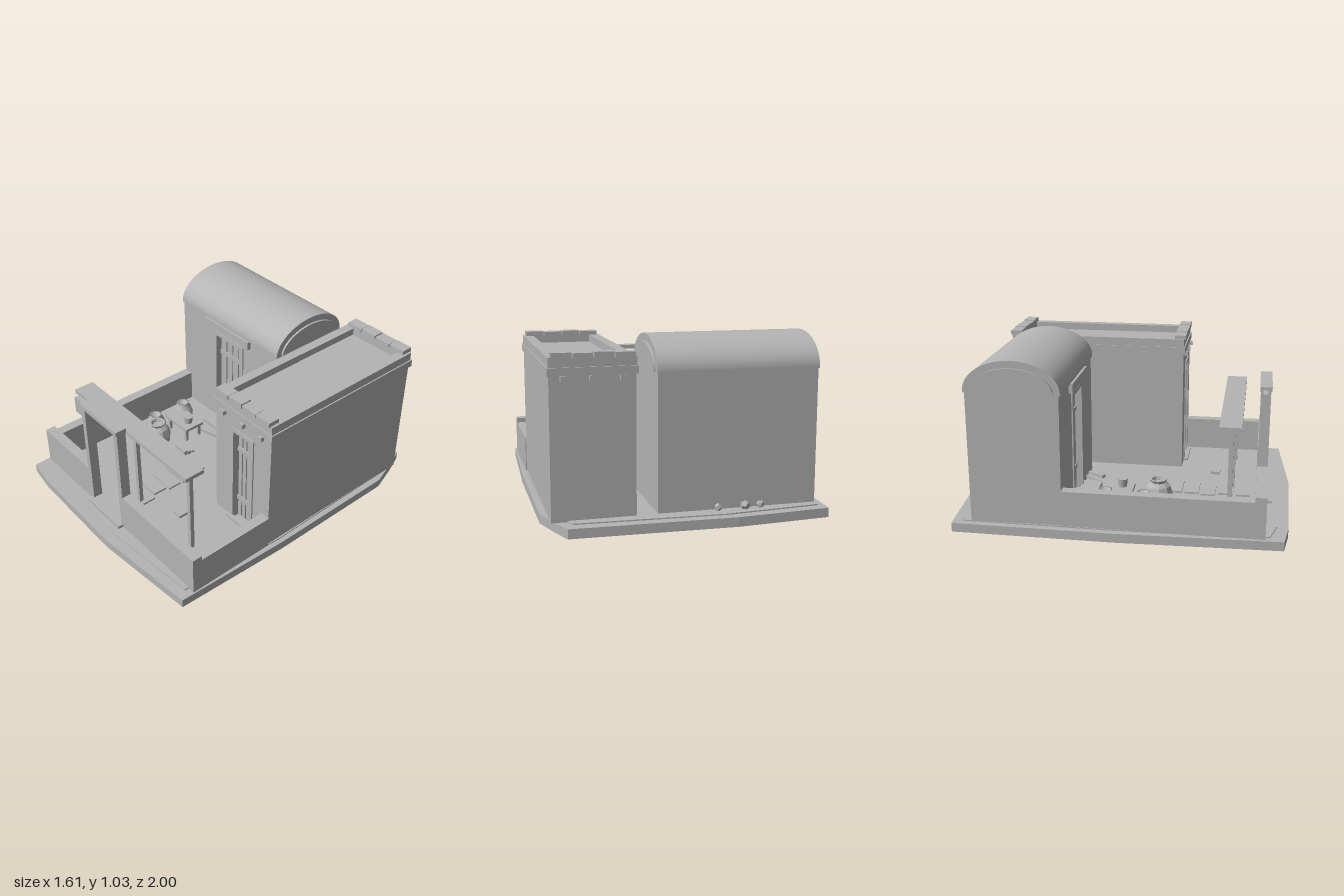
import * as THREE from 'three';

export function createModel() {
  const root = new THREE.Group();
  const plaster = new THREE.MeshStandardMaterial({ color: 0xb4b4b4 });
  plaster.name = 'plainGrey';

  const add = (name, geo, parent = root) => {
    const m = new THREE.Mesh(geo, plaster);
    m.name = name;
    parent.add(m);
    return m;
  };
  // box from its limits on each axis
  const box = (name, x0, x1, y0, y1, z0, z1, parent = root) => {
    const m = add(name, new THREE.BoxGeometry(x1 - x0, y1 - y0, z1 - z0), parent);
    m.position.set((x0 + x1) / 2, (y0 + y1) / 2, (z0 + z1) / 2);
    return m;
  };
  const group = (name) => {
    const g = new THREE.Group();
    g.name = name;
    root.add(g);
    return g;
  };
  // flat slab from an outline in x, z
  const slab = (name, pts, y0, y1) => {
    const s = new THREE.Shape(pts.map(([x, z]) => new THREE.Vector2(x, -z)));
    const g = new THREE.ExtrudeGeometry(s, { depth: y1 - y0, bevelEnabled: false });
    add(name, g.rotateX(-Math.PI / 2)).position.y = y0;
  };

  // uneven ground plinth in two tiers
  slab('groundSlab', [[-0.8, -0.96], [-0.25, -1], [0.69, -0.975], [0.74, -0.85], [0.8, -0.67], [0.8, 0.2],
    [0.77, 0.94], [0.1, 1], [-0.6, 0.985], [-0.78, 0.96], [-0.81, 0]], 0, 0.055);
  slab('groundTop', [[-0.76, -0.9], [-0.2, -0.945], [0.65, -0.91], [0.76, -0.65], [0.77, 0.2],
    [0.72, 0.88], [0.1, 0.935], [-0.59, 0.92], [-0.74, 0.88], [-0.77, 0]], 0.05, 0.062);

  // house body with a recessed doorway in its front wall
  function house(name, x0, x1, top, z0, z1, d0, d1, dTop) {
    const g = group(name), depth = 0.05, y0 = 0.055;
    box('body', x0, x1, y0, top, z0, z1 - depth, g);
    const wall = new THREE.Shape([[x0, y0], [d0, y0], [d0, dTop], [d1, dTop], [d1, y0], [x1, y0], [x1, top], [x0, top]]
      .map(([x, y]) => new THREE.Vector2(x, y)));
    add('frontWall', new THREE.ExtrudeGeometry(wall, { depth, bevelEnabled: false }), g).position.z = z1 - depth;
    // door frame
    const f = 0.026, zf = z1 + 0.008;
    box('doorFrameSide', d0 - f, d0, y0, dTop, z1 - 0.01, zf, g);
    box('doorFrameSide', d1, d1 + f, y0, dTop, z1 - 0.01, zf, g);
    box('doorFrameTop', d0 - f, d1 + f, dTop, dTop + f, z1 - 0.01, zf, g);
    // planked door
    const n = 4, w = (d1 - d0) / n;
    for (let i = 0; i < n; i++) {
      box('doorPlank', d0 + i * w + 0.004, d0 + (i + 1) * w - 0.004, 0.07, dTop - 0.01, z1 - 0.052, z1 - 0.035, g);
    }
    for (const y of [0.2, 0.58]) box('doorRail', d0, d1, y, y + 0.03, z1 - 0.05, z1 - 0.028, g);
    return g;
  }

  // vaulted house
  const vaulted = house('vaultedHouse', -0.76, 0.17, 0.85, -0.85, -0.31, -0.41, -0.17, 0.735);
  const vault = (name, x0, x1, h, d) => {
    const geo = new THREE.CylinderGeometry(1, 1, x1 - x0, 48, 1, false, 0, Math.PI);
    geo.rotateZ(Math.PI / 2).scale(1, h, d);
    add(name, geo, vaulted).position.set((x0 + x1) / 2, 0.85, -0.58);
  };
  vault('vaultRoof', -0.763, 0.175, 0.182, 0.28);
  vault('vaultEndPanels', -0.775, 0.188, 0.14, 0.24);
  box('eaves', -0.763, 0.175, 0.84, 0.851, -0.86, -0.3, vaulted);
  box('doorLintel', -0.505, -0.08, 0.785, 0.84, -0.315, -0.285, vaulted);
  box('doorStep', -0.42, -0.1, 0.06, 0.085, -0.31, -0.19, vaulted);

  // flat-roofed house
  const flat = house('flatHouse', 0.29, 0.76, 0.9, -0.855, 0.285, 0.45, 0.595, 0.735);
  const band = (name, x0, x1, z0, z1, y0, y1, t) => {
    box(name, x0, x0 + t, y0, y1, z0, z1, flat);
    box(name, x1 - t, x1, y0, y1, z0, z1, flat);
    box(name, x0 + t, x1 - t, y0, y1, z0, z0 + t, flat);
    box(name, x0 + t, x1 - t, y0, y1, z1 - t, z1, flat);
  };
  band('cornice', 0.28, 0.77, -0.87, 0.295, 0.848, 0.893, 0.03);
  band('parapet', 0.285, 0.762, -0.86, 0.288, 0.89, 0.945, 0.06);
  for (const [z0, z1] of [[-0.873, -0.8], [0.225, 0.298]]) {
    for (let i = 0; i < 4; i++) {
      const x = 0.297 + i * 0.114;
      box('parapetBlock', x, x + 0.108, 0.94, 0.968 + (i % 2) * 0.004, z0, z1, flat);
    }
  }
  for (const x of [0.365, 0.53, 0.685]) {
    box('roofBeamEnd', x - 0.015, x + 0.015, 0.82, 0.848, 0.27, 0.31, flat);
    box('roofBeamEnd', x - 0.015, x + 0.015, 0.82, 0.848, -0.88, -0.84, flat);
  }
  box('doorStep', 0.41, 0.63, 0.06, 0.08, 0.285, 0.315, flat);

  // courtyard walls
  box('leftOfGateWall', -0.765, -0.27, 0.055, 0.305, 0.79, 0.855);
  box('rightOfGateWall', 0.09, 0.765, 0.055, 0.305, 0.79, 0.855);
  box('sideWall', -0.765, -0.7, 0.055, 0.275, -0.31, 0.79);
  box('sideWall', 0.7, 0.765, 0.055, 0.275, 0.285, 0.79);

  // gate with hanging sign
  const gate = group('gate');
  box('gatePost', -0.27, -0.235, 0.055, 0.775, 0.795, 0.855, gate);
  box('gatePost', 0.06, 0.095, 0.055, 0.775, 0.795, 0.855, gate);
  box('gateBeam', -0.272, 0.097, 0.775, 0.802, 0.79, 0.862, gate);
  box('threshold', -0.26, 0.08, 0.055, 0.08, 0.755, 0.89, gate);
  box('signBoard', -0.365, -0.275, 0.68, 0.785, 0.81, 0.838, gate);

  // pergola
  const pergola = group('pergola');
  box('pergolaBeam', -0.597, 0.52, 0.625, 0.65, 0.57, 0.7, pergola);
  for (const x of [-0.553, -0.033, 0.48]) box('pergolaPost', x - 0.013, x + 0.013, 0.055, 0.63, 0.628, 0.654, pergola);

  // stepping stones
  [[-0.105, 0.18], [-0.085, 0.285], [-0.09, 0.39], [-0.11, 0.495], [-0.08, 0.605], [-0.09, 0.715]].forEach(([x, z]) =>
    box('steppingStone', x - 0.088, x + 0.088, 0.055, 0.074, z - 0.045, z + 0.045));
  box('looseStone', 0.18, 0.25, 0.055, 0.08, 0.49, 0.55);

  // storage pots
  const pot = (x, z, r, h, sides) => {
    const p = [[0, 0], [0.55, 0], [0.95, 0.3], [1, 0.5], [0.8, 0.78], [0.5, 0.9], [0.6, 1], [0.45, 1], [0.38, 0.88], [0, 0.85]];
    let geo = new THREE.LatheGeometry(p.map(([a, b]) => new THREE.Vector2(a * r, b * h)), sides);
    if (sides < 12) {
      geo = geo.toNonIndexed();
      geo.computeVertexNormals();
    }
    add('pot', geo).position.set(x, 0.06, z);
  };
  pot(-0.53, -0.095, 0.068, 0.15, 20);
  pot(-0.54, 0.135, 0.068, 0.15, 20);
  pot(-0.42, 0.21, 0.09, 0.19, 9);

  // small table with a cup
  const table = group('table');
  box('tableTop', -0.535, -0.305, 0.15, 0.17, -0.09, 0.055, table);
  for (const x of [-0.52, -0.34]) for (const z of [-0.08, 0.025]) box('tableLeg', x, x + 0.02, 0.06, 0.15, z, z + 0.02, table);
  const cup = add('cup', new THREE.CylinderGeometry(0.032, 0.026, 0.05, 16), table);
  cup.position.set(-0.37, 0.195, -0.015);

  // stacked boards and loose planks in the yard
  for (let i = 0; i < 3; i++) box('stackedBoard', -0.34 + i * 0.02, -0.2, 0.06, 0.075 + i * 0.012, 0.07 + i * 0.03, 0.095 + i * 0.03);
  [[-0.23, -0.14, 0.27, 0.27], [-0.06, -0.24, 0.16, 0.9], [0.02, -0.25, 0.12, 1.05]].forEach(([x, z, len, turn]) => {
    const plank = add('loosePlank', new THREE.BoxGeometry(len, 0.02, 0.03));
    plank.position.set(x, 0.08, z);
    plank.rotation.y = turn;
  });

  // rocks behind the house
  [[-0.42, 0.022], [-0.33, 0.028], [-0.17, 0.022]].forEach(([x, r], i) => {
    const rock = add('rock', new THREE.DodecahedronGeometry(r, 0));
    rock.position.set(x, 0.082, -0.878);
    rock.rotation.y = i;
  });

  return root;
}
